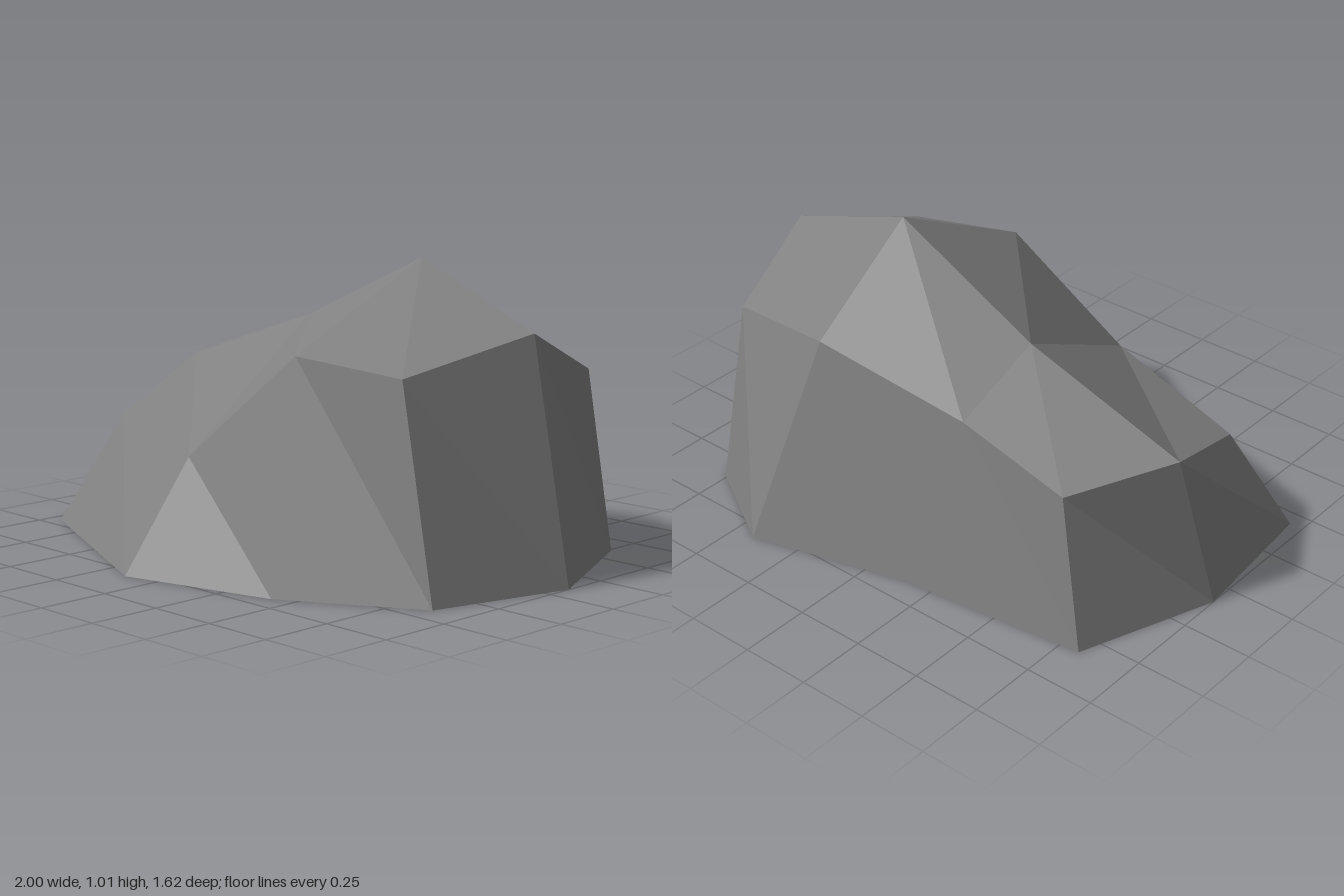
import * as THREE from 'three';

export function createModel() {
  const stone = new THREE.MeshStandardMaterial({ color: 0x808080, flatShading: true });
  stone.name = 'stone grey';

  // Ground outline [x, z], counterclockwise seen from above, from the right tip
  const base = [[-1, -0.09], [-0.95, 0.44], [-0.13, 0.81], [0.42, 0.67], [0.87, 0.41],
    [1, -0.09], [0.76, -0.61], [0.42, -0.81], [-0.14, -0.66], [-0.82, -0.58]]
    .map(([x, z]) => [x, 0, z]);

  // Shoulder ring [x, y, z] above the outline
  const rim = [[-0.9, 0.56, -0.18], [-0.79, 0.39, 0.27], [-0.13, 0.36, 0.53], [0.27, 0.73, 0.42],
    [0.67, 0.69, 0.34], [0.84, 0.81, -0.09], [0.75, 0.645, -0.48], [0.3, 0.715, -0.56],
    [-0.28, 0.615, -0.51], [-0.69, 0.505, -0.51]];

  // Crest between the two tips of the shoulder ring
  const crest = [rim[0], [-0.29, 0.76, -0.18], [0.3, 1.01, -0.14], rim[5]];

  const addMesh = (name, points) => {
    const geometry = new THREE.BufferGeometry();
    geometry.setAttribute('position', new THREE.Float32BufferAttribute(points.flat(), 3));
    geometry.computeVertexNormals();
    const mesh = new THREE.Mesh(geometry, stone);
    mesh.name = name;
    group.add(mesh);
  };
  // Quad with lower edge a-b and upper edge c-d, split from b to d
  const quad = (a, b, c, d) => [a, b, d, b, c, d];

  const group = new THREE.Group();
  group.name = 'rock';
  const sides = [], top = [], underside = [];

  // Sloping sides and flat underside
  base.forEach((p, i) => {
    const j = (i + 1) % base.length;
    sides.push(...quad(p, base[j], rim[j], rim[i]));
    underside.push([0, 0, 0], base[j], p);
  });

  // Front and back slopes rising to the crest
  for (let i = 0; i < 3; i++) {
    top.push(...quad(rim[i + 1], rim[i + 2], crest[i + 1], crest[i]));
    top.push(...quad(rim[i + 6], rim[i + 7], crest[2 - i], crest[3 - i]));
  }

  addMesh('rockSides', sides);
  addMesh('rockTop', top);
  addMesh('rockUnderside', underside);
  return group;
}
